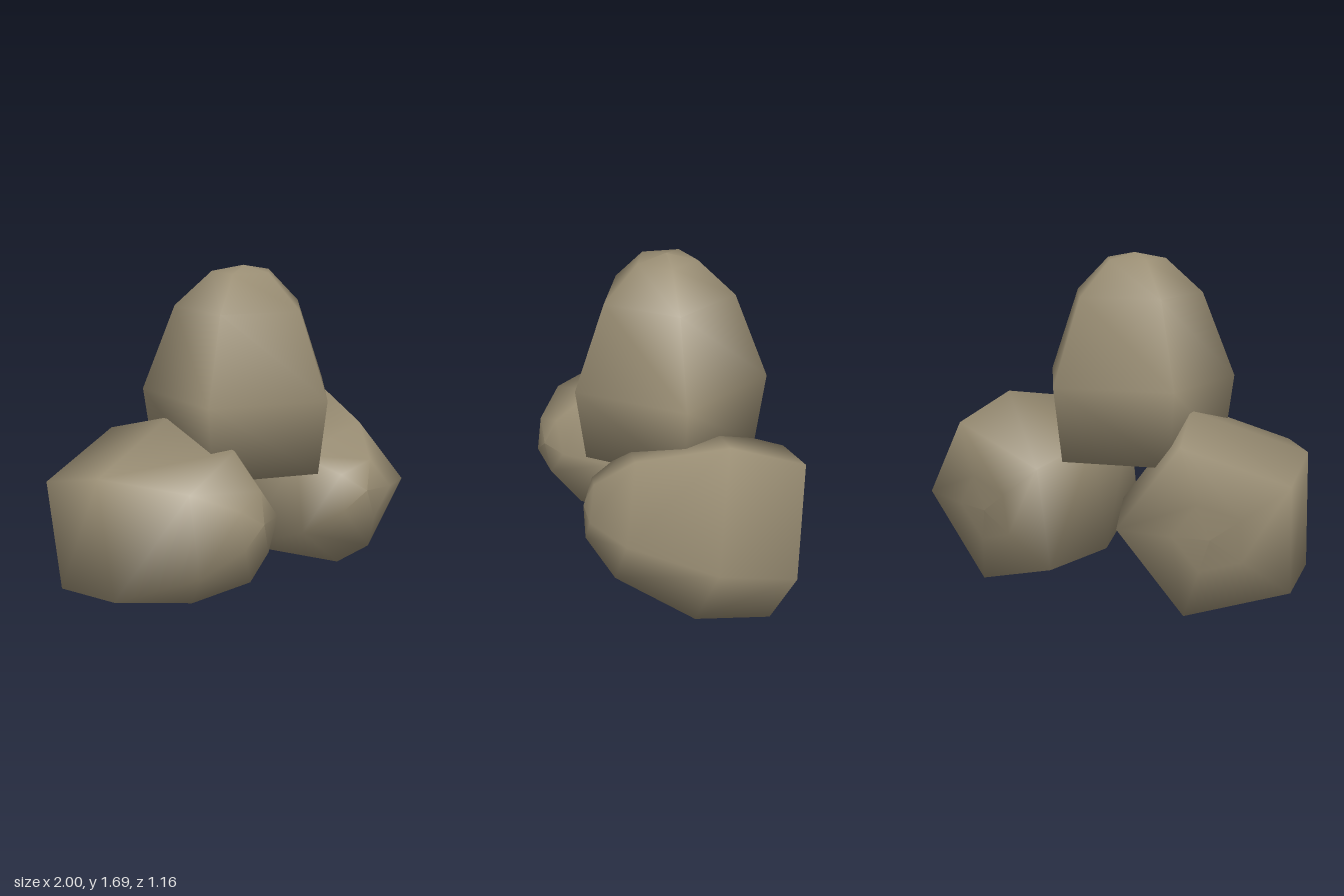
import * as THREE from 'three';

// Five-sided egg-shaped boulder profile (radius, height above the rim), blunt base to tip
const PROFILE = [
  [0, -0.05], [0.18, -0.04], [0.455, 0], [0.505, 0.37],
  [0.34, 0.79], [0.155, 0.96], [0, 0.99],
].map(([r, y]) => new THREE.Vector2(r, y));

// base: centre of the lower rim; axis: direction of the tip; corner: direction of one edge
function makeBoulder(name, material, base, axis, corner) {
  const y = new THREE.Vector3(...axis).normalize();
  const x = new THREE.Vector3().crossVectors(y, new THREE.Vector3(...corner)).normalize();
  const z = new THREE.Vector3().crossVectors(x, y);
  const mesh = new THREE.Mesh(new THREE.LatheGeometry(PROFILE, 5), material);
  mesh.name = name;
  mesh.quaternion.setFromRotationMatrix(new THREE.Matrix4().makeBasis(x, y, z));
  mesh.position.set(...base);
  return mesh;
}

export function createModel() {
  const group = new THREE.Group();
  group.name = 'boulderPile';
  const stone = new THREE.MeshStandardMaterial({ color: 0x9a8e74 });
  stone.name = 'stone';

  group.add(
    // Upright boulder resting on the other two
    makeBoulder('topBoulder', stone, [-0.025, 0.71, -0.02], [0, 1, 0], [0.49, 0, 0.025]),
    // Two boulders lying with their tips to the front
    makeBoulder('leftBoulder', stone, [0.55, 0.432, -0.468], [-0.191, 0.162, 0.968], [0.15, 0.43, -0.04]),
    makeBoulder('rightBoulder', stone, [-0.638, 0.437, -0.381], [0.285, 0.14, 0.948], [0.118, 0.433, -0.1]),
  );
  return group;
}
